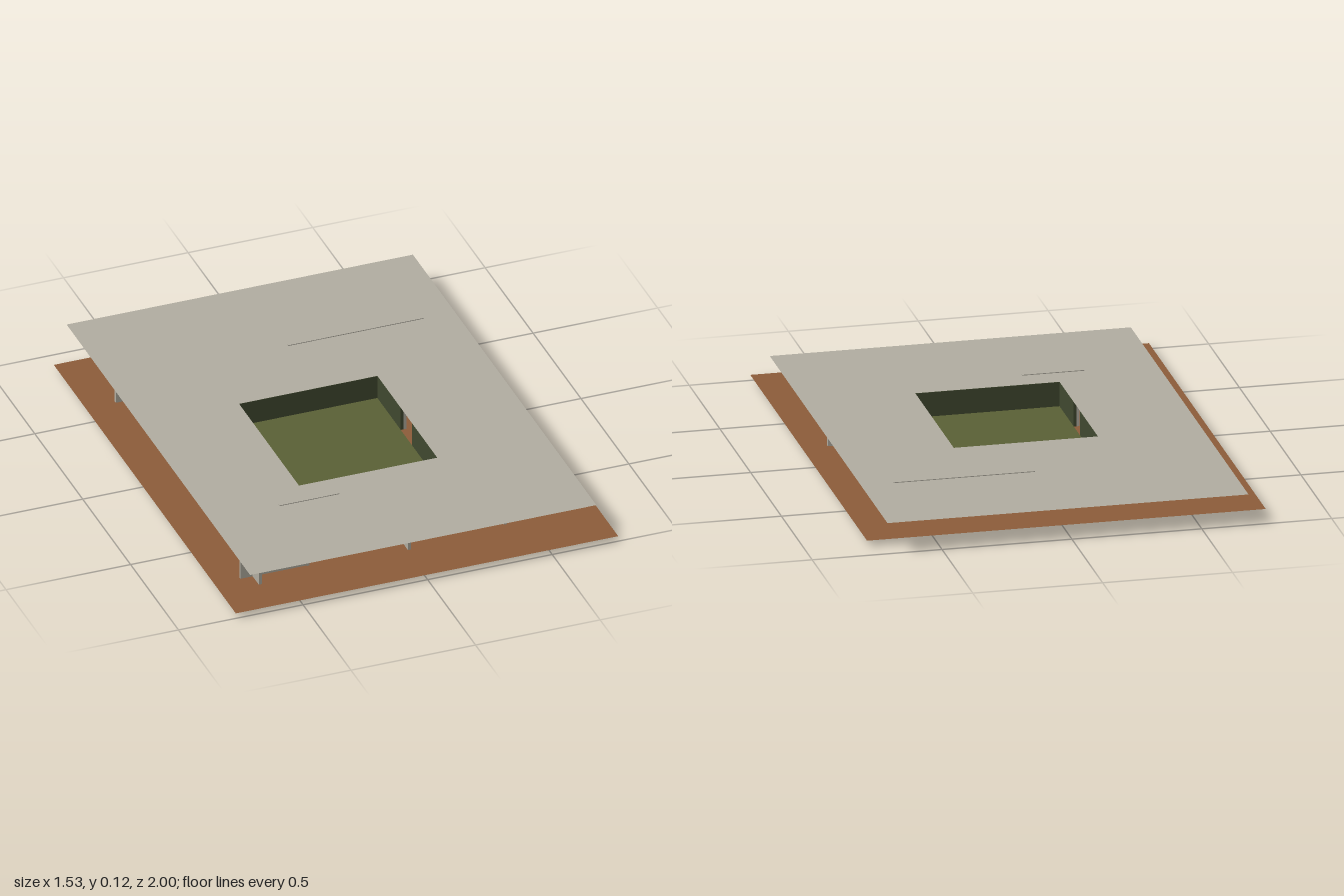
import * as THREE from 'three';

const mat = (name, color) => {
  const m = new THREE.MeshStandardMaterial({ color, side: THREE.DoubleSide });
  m.name = name;
  return m;
};

export function createModel() {
  const group = new THREE.Group();
  const concrete = mat('concrete', 0xb0aca0);
  const earth = mat('earth', 0x8c5c3a);
  const lawn = mat('lawn', 0x5a6035);
  const hedge = mat('dark green', 0x40482f);
  const blue = mat('blue', 0x0a1fa0);

  const FLOOR = 0.022, ROOF = 0.122, T = 0.012;
  const add = (name, geo, material, x = 0, y = 0, z = 0) => {
    const m = new THREE.Mesh(geo, material);
    m.name = name;
    m.position.set(x, y, z);
    group.add(m);
    return m;
  };
  const box = (name, material, x0, x1, y0, y1, z0, z1) =>
    add(name, new THREE.BoxGeometry(x1 - x0, y1 - y0, z1 - z0), material,
      (x0 + x1) / 2, (y0 + y1) / 2, (z0 + z1) / 2);

  // Ground sheet
  const ground = new THREE.PlaneGeometry(1.535, 1.9).rotateX(-Math.PI / 2);
  add('ground', ground, earth, -0.0025, FLOOR, 0.05);

  // Roof sheet with courtyard opening (shape y is -z)
  const rect = (P, x0, x1, z0, z1) => new P([
    [x0, -z0], [x1, -z0], [x1, -z1], [x0, -z1],
  ].map(([a, b]) => new THREE.Vector2(a, b)));
  const roof = rect(THREE.Shape, -0.68, 0.71, -1, 0.915);
  const [cx0, cx1, cz0, cz1] = [-0.28, 0.275, -0.24, 0.385];
  roof.holes.push(rect(THREE.Path, cx0, cx1, cz0, cz1));
  add('roof', new THREE.ShapeGeometry(roof).rotateX(-Math.PI / 2), concrete, 0, ROOF, 0);

  // Courtyard lawn slab
  box('courtyardLawn', lawn, cx0, cx1, 0, FLOOR + 0.003, cz0, cz1);

  // Walls along x: [z, x0, x1, top]; walls along z: [x, z0, z1]
  const alongX = (name, m, z, x0, x1, top = ROOF - 0.001) =>
    box(name, m, x0, x1, FLOOR - 0.004, top, z - T / 2, z + T / 2);
  const alongZ = (name, m, x, z0, z1) =>
    box(name, m, x - T / 2, x + T / 2, FLOOR - 0.004, ROOF - 0.001, z0, z1);

  // Courtyard lining, with doorways on both sides, and concrete behind it
  for (const [z, s] of [[cz0, -1], [cz1, 1]]) {
    alongX('courtyardLining', hedge, z + s * T / 2, cx0, cx1);
    alongX('courtyardWall', concrete, z + s * T * 1.5, cx0 - T, cx1 + T);
  }
  for (const [x, s, d0, d1] of [[cx0, -1, 0.05, 0.16], [cx1, 1, 0, 0.12]]) {
    for (const [a, b] of [[cz0, d0], [d1, cz1]]) {
      alongZ('courtyardLining', hedge, x + s * T / 2, a, b);
      alongZ('courtyardWall', concrete, x + s * T * 1.5, a, b);
    }
  }

  // Outer walls and room partitions
  [
    [-0.565, 0.04, 0.585, ROOF + 0.003], [-0.57, -0.65, 0.04],
    [0.745, 0, 0.61], [0.77, -0.665, -0.39], [0.65, -0.39, -0.126],
    [0.49, -0.4, -0.16, ROOF + 0.003], [0.51, 0, 0.26],
    [-0.035, 0.35, 0.63], [0.165, 0.34, 0.665], [0.375, 0.38, 0.64],
    [-0.335, 0, 0.35], [-0.365, -0.45, -0.07], [0.36, -0.53, -0.4],
    [0.65, -0.53, -0.39],
  ].forEach((w) => alongX('wall', concrete, ...w));
  [
    [0.56, -0.57, 0.1], [0.56, 0.14, 0.755],
    [-0.61, -0.57, -0.27], [-0.61, -0.03, 0.38], [-0.61, 0.44, 0.84],
    [0.35, -0.63, -0.335], [-0.01, -0.63, -0.35],
    [0, 0.51, 0.81], [0.4, 0.56, 0.77], [-0.395, 0.49, 0.78],
    [0.4, -0.17, -0.03], [0.4, 0.02, 0.17], [-0.4, 0.03, 0.36],
  ].forEach((w) => alongZ('wall', concrete, ...w));

  // Blue room with a doorway near its inner corner
  alongX('blueRoomWall', blue, -0.26, -0.62, -0.41);
  alongX('blueRoomWall', blue, -0.035, -0.62, -0.41);
  alongZ('blueRoomWall', blue, -0.615, -0.266, -0.03);
  alongZ('blueRoomWall', blue, -0.41, -0.2, -0.03);

  // Small planting beds set into the ground near the back wall
  for (const x of [0.24, -0.26]) {
    box('plantingBed', hedge, x - 0.04, x + 0.04, FLOOR - 0.004, FLOOR + 0.004, -0.55, -0.5);
  }
  return group;
}
